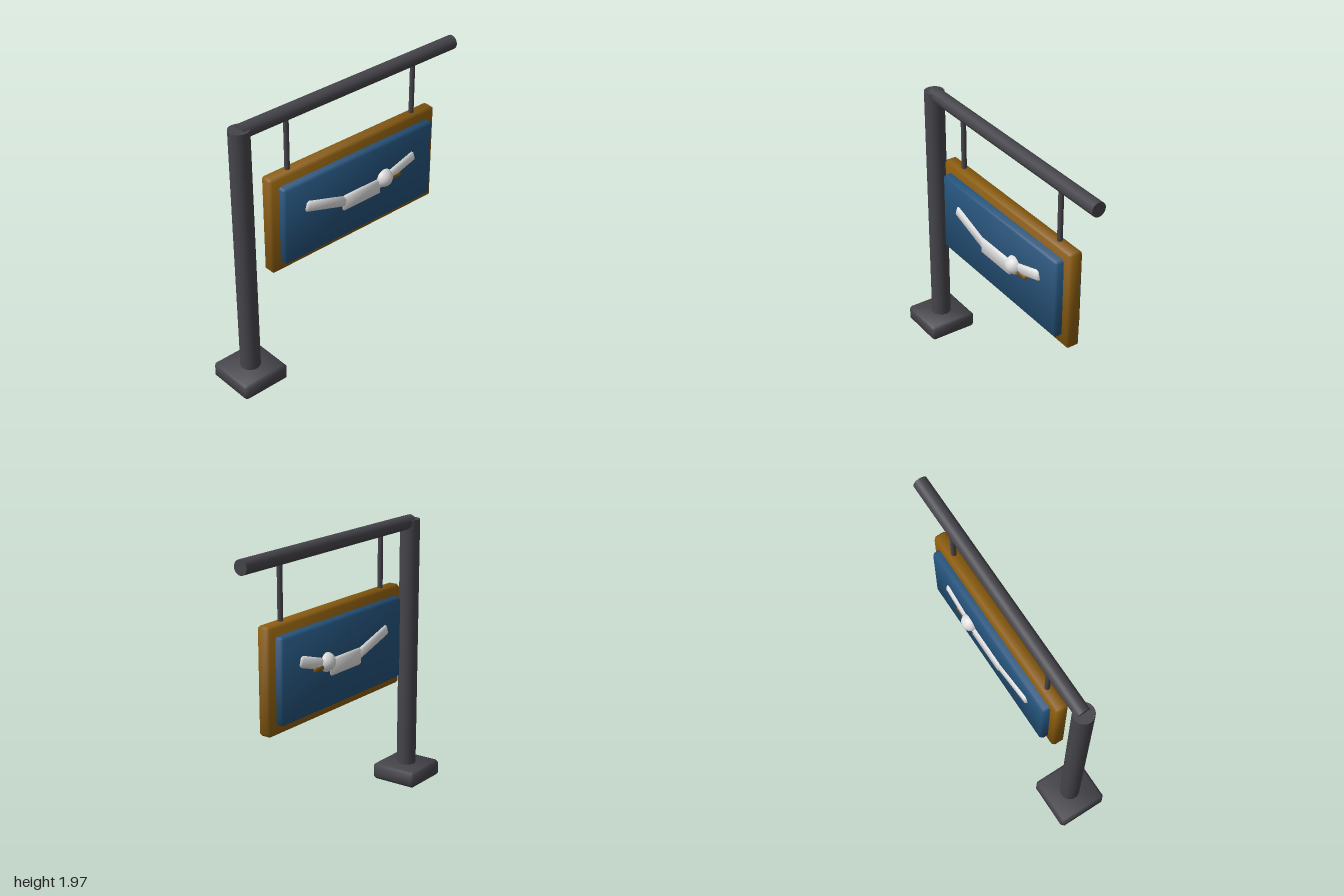
import * as THREE from 'three';

const material = (name, color) => Object.assign(new THREE.MeshStandardMaterial({ color }), { name });

// Chamfered box with soft shading: a 3x3 grid per face whose rim is pulled in.
function chamferBox(w, h, d, bevel) {
  const g = new THREE.BoxGeometry(1, 1, 1, 3, 3, 3);
  const p = g.attributes.position, n = g.attributes.normal;
  const half = [w / 2, h / 2, d / 2];
  for (let i = 0; i < p.count; i++) {
    const c = [p.getX(i), p.getY(i), p.getZ(i)];
    const outer = c.map(v => Math.abs(v) > 0.4);
    const k = outer.filter(Boolean).length; // 1 face, 2 edge, 3 corner
    const inset = [0, 0, bevel / 2, bevel * 2 / 3][k];
    const weight = [0, 3, 2.14, 1][k];
    const pos = c.map((v, a) => Math.sign(v) * (half[a] - (outer[a] ? inset : bevel)));
    const nor = new THREE.Vector3(...c.map((v, a) => Math.sign(v) * (outer[a] ? weight : 1.28))).normalize();
    p.setXYZ(i, ...pos);
    n.setXYZ(i, nor.x, nor.y, nor.z);
  }
  return g;
}

export function createModel() {
  const model = new THREE.Group();
  model.name = 'hangingSign';

  const iron = material('darkIron', 0x44444a);
  const amber = material('amberWood', 0x8a5c0e);
  const blue = material('bluePaint', 0x24527a);
  const white = material('white', 0xdedede);

  const add = (name, geometry, mat, x, y, z = 0, rotZ = 0, parent = model) => {
    const mesh = new THREE.Mesh(geometry, mat);
    mesh.name = name;
    mesh.position.set(x, y, z);
    mesh.rotation.z = rotZ;
    parent.add(mesh);
    return mesh;
  };

  // Stand
  add('base', chamferBox(0.36, 0.12, 0.36, 0.02), iron, -0.82, 0.06);
  add('post', new THREE.CylinderGeometry(0.07, 0.07, 1.84, 24), iron, -0.82, 1.02);
  add('arm', new THREE.CylinderGeometry(0.05, 0.05, 1.82, 24), iron, 0.09, 1.92, 0, Math.PI / 2);

  // Hangers
  for (const x of [-0.457, 0.634])
    add('hanger', new THREE.CylinderGeometry(0.018, 0.018, 0.4, 12), iron, x, 1.71);

  // Board
  const cx = 0.088;
  add('frame', chamferBox(1.446, 0.72, 0.098, 0.018), amber, cx, 1.155);
  add('panel', chamferBox(1.315, 0.58, 0.208, 0.018), blue, cx, 1.155);

  // Bird emblem, running through the board so it shows on both faces
  const bird = new THREE.Group();
  bird.name = 'bird';
  model.add(bird);
  add('body', chamferBox(0.34, 0.12, 0.24, 0.015), white, cx, 1.136, 0, 0, bird);
  for (const s of [-1, 1])
    add(s < 0 ? 'rightWing' : 'leftWing', chamferBox(0.36, 0.078, 0.24, 0.015), white,
      cx + s * 0.31, 1.199, 0, s * 0.3, bird);
  add('beak', chamferBox(0.1, 0.032, 0.246, 0.006), amber, 0.385, 1.163, 0, 0, bird);
  for (const s of [-1, 1])
    add('head', new THREE.SphereGeometry(0.066, 24, 16), white, 0.292, 1.183, s * 0.097, 0, bird);

  return model;
}
